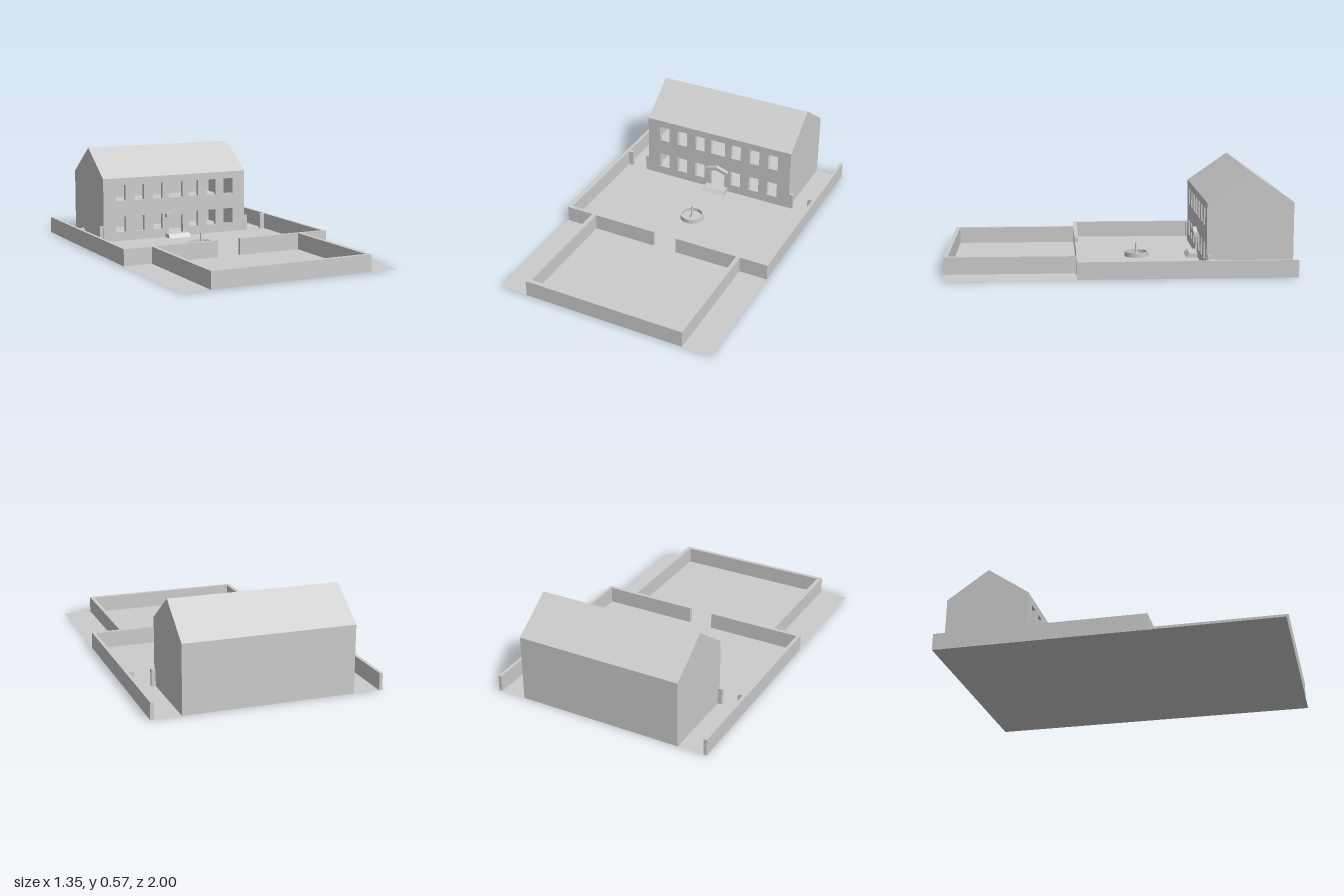
import * as THREE from 'three';

const material = new THREE.MeshStandardMaterial({ color: 0xcccccc, flatShading: true, side: THREE.DoubleSide });
const smooth = new THREE.MeshStandardMaterial({ color: 0xcccccc, side: THREE.DoubleSide });

function add(parent, name, geometry, mat = material) {
  const mesh = new THREE.Mesh(geometry, mat);
  mesh.name = name;
  parent.add(mesh);
  return mesh;
}

// Box given by its extents on each axis
function block(parent, name, x0, x1, y0, y1, z0, z1) {
  const mesh = add(parent, name, new THREE.BoxGeometry(x1 - x0, y1 - y0, z1 - z0));
  mesh.position.set((x0 + x1) / 2, (y0 + y1) / 2, (z0 + z1) / 2);
  return mesh;
}

const polygon = (points) => new THREE.Shape(points.map(([x, y]) => new THREE.Vector2(x, y)));

// Extrudes a side profile of [z, y] points across x, centred on x = 0
function acrossX(points, width) {
  return new THREE.ExtrudeGeometry(polygon(points), { depth: width, bevelEnabled: false })
    .rotateY(-Math.PI / 2).translate(width / 2, 0, 0);
}

function createHouse() {
  const house = new THREE.Group();
  house.name = 'house';
  const t = 0.025;

  // Front wall with two rows of windows and a doorway
  const front = polygon([[-0.475, 0], [-0.05, 0], [-0.05, 0.152], [0.05, 0.152], [0.05, 0],
    [0.475, 0], [0.475, 0.4], [-0.475, 0.4]]);
  const opening = (x, y, w) => front.holes.push(new THREE.Path(
    [[-w, 0], [-w, 0.1], [w, 0.1], [w, 0]].map(([dx, dy]) => new THREE.Vector2(x + dx, y + dy))));
  for (const side of [-1, 1]) {
    for (const x of [0.127, 0.255, 0.382]) {
      for (const y of [0.055, 0.255]) opening(side * x, y, 0.0335);
    }
  }
  opening(0, 0.255, 0.05);
  add(house, 'frontWall', new THREE.ExtrudeGeometry(front, { depth: t, bevelEnabled: false })
    .translate(0, 0, -0.5 - t));

  // Gable ends
  const gable = [[-1, 0], [-0.5, 0], [-0.5, 0.4], [-0.75, 0.575], [-1, 0.4]];
  for (const side of [-1, 1]) {
    add(house, 'gableWall', acrossX(gable, t)).position.x = side * (0.5 - t / 2);
  }

  // Back wall and pitched roof
  block(house, 'backWall', -0.475, 0.475, 0, 0.39, -1, -1 + t);
  add(house, 'roof', acrossX([[-1, 0.4], [-1, 0.375], [-0.75, 0.55], [-0.5, 0.375],
    [-0.5, 0.4], [-0.75, 0.575]], 0.95));

  // Upper floor and low partitions beside the entrance
  block(house, 'upperFloor', -0.475, 0.475, 0.19, 0.205, -0.975, -0.525);
  for (const side of [-1, 1]) {
    block(house, 'partition', -0.075, 0.075, 0, 0.13, -0.8, -0.775).position.x = side * 0.11;
  }

  // Entrance canopy and doorstep
  const canopy = polygon([[-0.075, 0.13], [0, 0.152], [0.075, 0.13], [0.075, 0.152], [0, 0.177], [-0.075, 0.152]]);
  add(house, 'canopy', new THREE.ExtrudeGeometry(canopy, { depth: 0.025, bevelEnabled: false })
    .translate(0, 0, -0.5));
  add(house, 'doorstep', acrossX([[-0.5, 0], [-0.43, 0], [-0.45, 0.025], [-0.5, 0.025]], 0.15));
  return house;
}

function createWalls() {
  const walls = new THREE.Group();
  walls.name = 'yardWalls';
  const h = 0.1;
  for (const side of [-1, 1]) {
    const wall = (name, x0, x1, z0, z1) => {
      block(walls, name, x0, x1, 0, h, z0, z1).position.x *= side;
    };
    wall('rearYardSideWall', 0.655, 0.675, -1, 0.245);
    wall('crossWall', 0.075, 0.655, 0.222, 0.245);
    wall('frontYardSideWall', 0.475, 0.5, 0.245, 1);
    wall('outerGatePost', 0.625, 0.655, -0.525, -0.503);
    wall('innerGatePost', 0.5, 0.525, -0.525, -0.503);
  }
  block(walls, 'frontYardEndWall', -0.475, 0.475, 0, h, 0.975, 1);
  return walls;
}

function createFountain() {
  const fountain = new THREE.Group();
  fountain.name = 'fountain';
  fountain.position.z = -0.13;
  const lathe = (points) => new THREE.LatheGeometry(points.map(([r, y]) => new THREE.Vector2(r, y)), 32);
  // Basin rim: separate rings keep its edges sharp
  for (const ring of [[[0.072, 0], [0.072, 0.028]], [[0.072, 0.028], [0.064, 0.028]],
    [[0.064, 0.028], [0.064, 0.006]], [[0.064, 0.006], [0, 0.006]]]) {
    add(fountain, 'basin', lathe(ring), smooth);
  }
  add(fountain, 'spout', lathe([[0.015, 0.006], [0.013, 0.016], [0.006, 0.024], [0.005, 0.08], [0, 0.082]]), smooth);
  return fountain;
}

export function createModel() {
  const model = new THREE.Group();
  model.name = 'walledHouse';
  add(model, 'ground', new THREE.PlaneGeometry(1.35, 2).rotateX(-Math.PI / 2));
  model.add(createHouse(), createWalls(), createFountain());
  return model;
}
